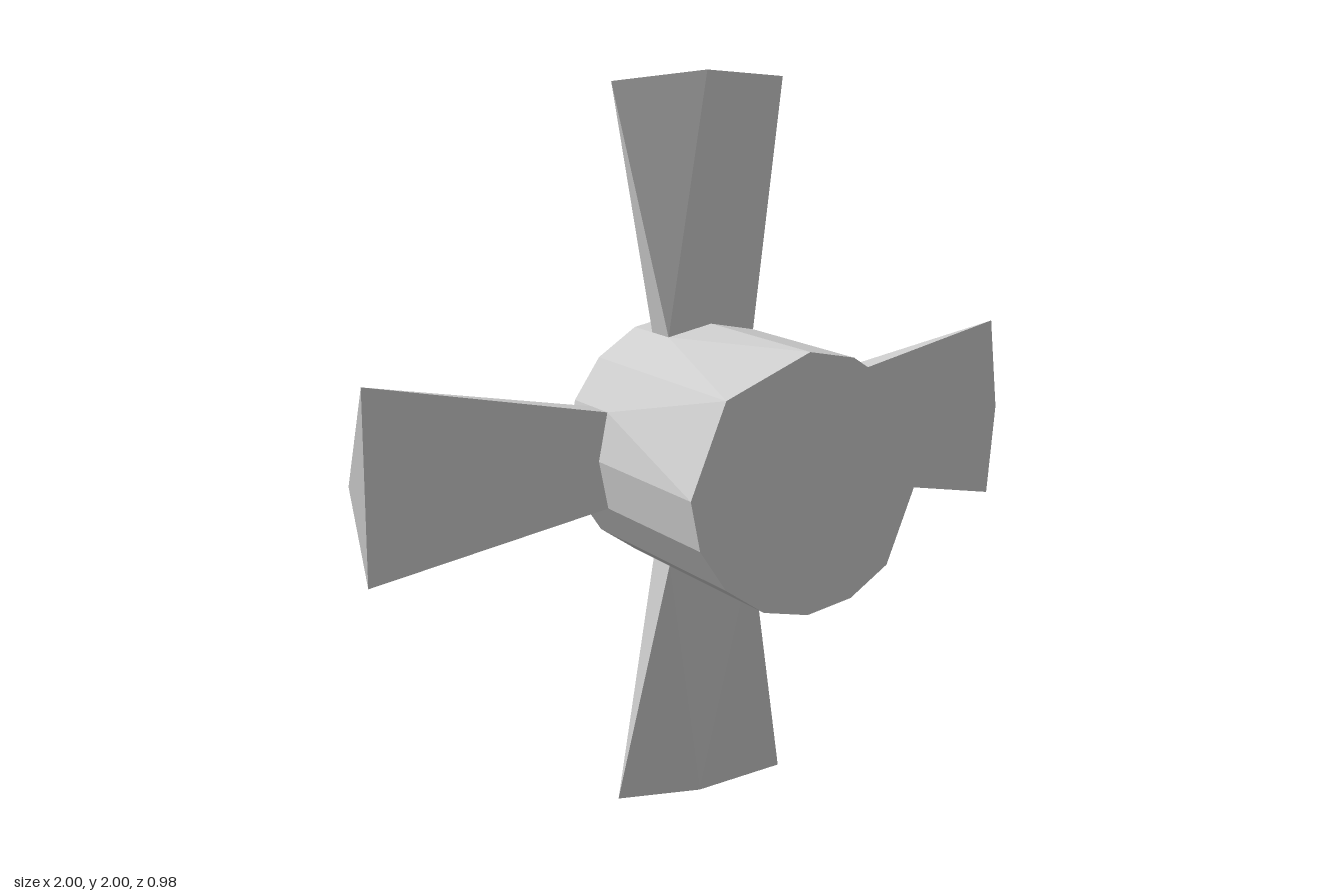
import * as THREE from 'three';

const material = new THREE.MeshStandardMaterial({ color: 0xcccccc, flatShading: true });

// Flat-shaded mesh from a list of triangles, each with three [x, y, z] corners
function facetMesh(name, triangles) {
  const geometry = new THREE.BufferGeometry();
  geometry.setAttribute('position', new THREE.Float32BufferAttribute(triangles.flat(2), 3));
  geometry.computeVertexNormals();
  const mesh = new THREE.Mesh(geometry, material);
  mesh.name = name;
  return mesh;
}

// Polygon around the z axis, counter-clockwise seen from the front
function ring(sides, radius, z, turn = 0) {
  return Array.from({ length: sides }, (_, i) => {
    const a = ((i + turn) / sides) * Math.PI * 2;
    return [Math.cos(a) * radius, Math.sin(a) * radius, z];
  });
}

// Wall between two rings, back to front
function wall(back, front) {
  return back.flatMap((p, i) => {
    const j = (i + 1) % back.length;
    return [[p, back[j], front[j]], [p, front[j], front[i]]];
  });
}

// Flat end cap
function cap(points, z, facesFront) {
  return points.map((p, i) => {
    const q = points[(i + 1) % points.length];
    return facesFront ? [[0, 0, z], p, q] : [[0, 0, z], q, p];
  });
}

function createHub() {
  const radius = 0.337;
  const back = ring(16, radius, -0.19);
  const middle = ring(16, radius, 0);
  const front = ring(16, radius, 0.49);
  // Three front corners merge into their neighbours, leaving slanted facets
  for (const i of [5, 7, 15]) front[i] = front[i - 1];
  return facetMesh('hub', [
    ...wall(back, middle), ...wall(middle, front),
    ...cap(back, -0.19, false), ...cap(front, 0.49, true),
  ]);
}

function createTailCone() {
  const base = ring(8, 0.238, -0.19);
  const tip = ring(8, 0.12, -0.49, 0.5);
  const sides = base.flatMap((p, i) => {
    const j = (i + 1) % 8;
    return [[p, tip[i], base[j]], [base[j], tip[i], tip[j]]];
  });
  return facetMesh('tailCone', [...sides, ...cap(tip, -0.49, false)]);
}

// Upward blade that widens to a thin, pointed tip
function createBlade(name, angle, cornerZ, middleZ) {
  const L = [-0.129, 0.311, 0], R = [0.129, 0.311, 0];
  const l = [-0.129, 0.311, -0.09], r = [0.129, 0.311, -0.09];
  const tL = [-0.257, 0.975, cornerZ], tR = [0.257, 0.975, cornerZ];
  const tM = [0, 1, middleZ];
  const faces = [[L, tL, l], [R, r, tR]];
  if (middleZ >= cornerZ) {
    // Tip facet leans back
    faces.push([L, R, tM], [R, tR, tM], [L, tM, tL], [r, l, tL], [r, tL, tR], [tL, tM, tR]);
  } else {
    // Tip facet leans forward
    faces.push([L, R, tR], [L, tR, tL], [tL, tR, tM], [r, l, tM], [l, tL, tM], [r, tM, tR]);
  }
  const blade = facetMesh(name, faces);
  blade.rotation.z = angle;
  return blade;
}

export function createModel() {
  const group = new THREE.Group();
  group.name = 'propeller';
  const quarter = Math.PI / 2;
  group.add(
    createHub(),
    createTailCone(),
    createBlade('topBlade', 0, -0.065, -0.02),
    createBlade('rightBlade', quarter, -0.02, -0.065),
    createBlade('bottomBlade', 2 * quarter, -0.065, -0.065),
    createBlade('leftBlade', -quarter, -0.065, -0.065),
  );
  for (const part of group.children) part.position.y = 1;
  return group;
}
